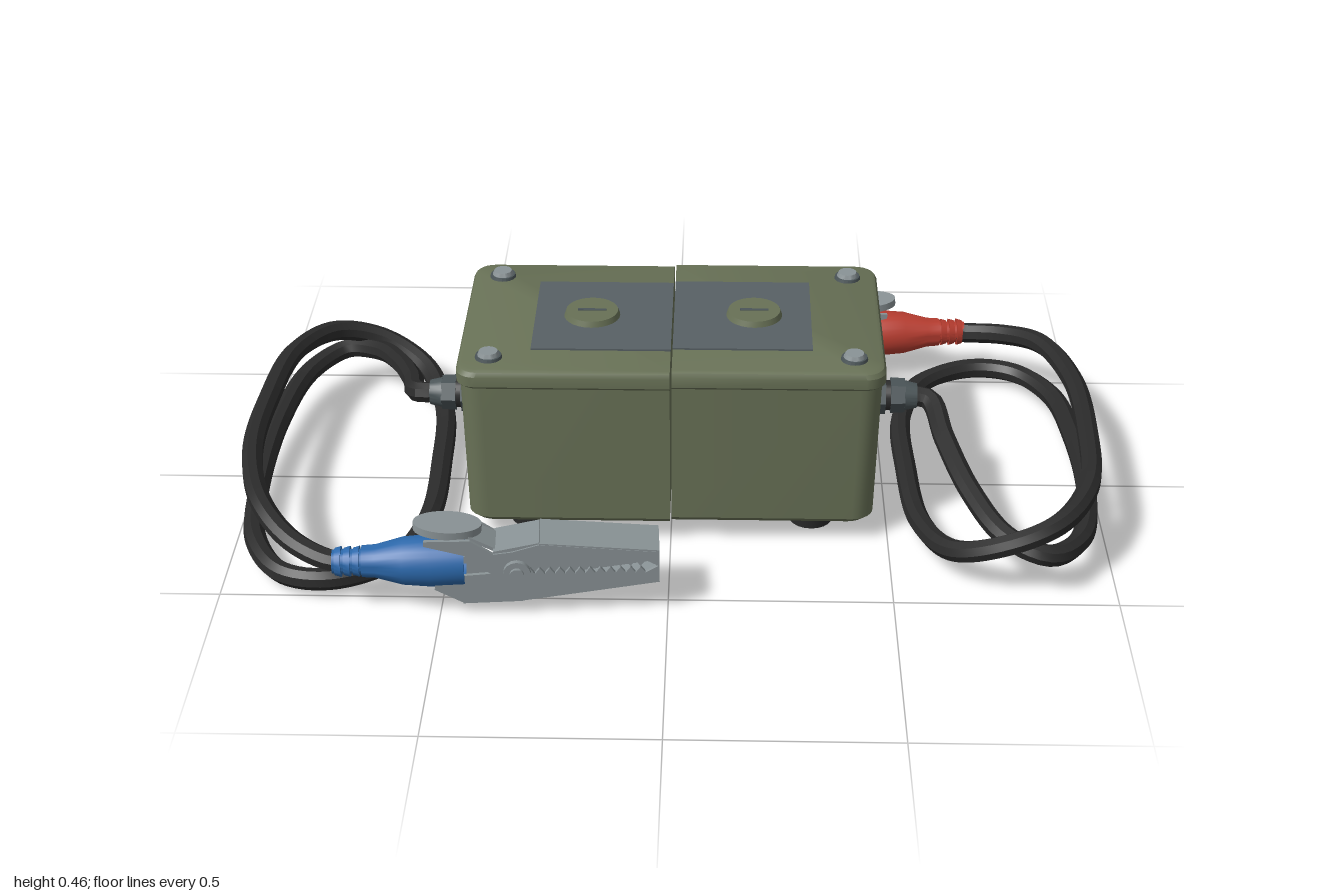
import * as THREE from 'three';
import { toCreasedNormals } from 'three/addons/utils/BufferGeometryUtils.js';

const mat = (name, color) => {
  const m = new THREE.MeshStandardMaterial({ color });
  m.name = name;
  return m;
};

export function createModel() {
  const olive = mat('olive case', 0x687156);
  const slate = mat('slate panel', 0x586165);
  const steel = mat('steel', 0x8a9396);
  const fitting = mat('dark fitting', 0x4b5558);
  const rubber = mat('black rubber', 0x2b2b2b);
  const blue = mat('blue boot', 0x2c69ac);
  const red = mat('red boot', 0xb83d30);

  const add = (parent, name, geo, material, x = 0, y = 0, z = 0) => {
    const m = new THREE.Mesh(geo, material);
    m.name = name;
    m.position.set(x, y, z);
    parent.add(m);
    return m;
  };
  const crease = (g, a = 0.6) => toCreasedNormals(g, a);
  const cyl = (r1, r2, h, n = 20) => crease(new THREE.CylinderGeometry(r1, r2, h, n));
  const cylX = (r1, r2, h, n = 20) => cyl(r1, r2, h, n).rotateZ(-Math.PI / 2);
  const cylZ = (r, h, n = 16) => cyl(r, r, h, n).rotateX(Math.PI / 2);

  // Half of a rounded box, lofted through layers of [y, halfX, halfZ]
  function halfCase(layers, radius) {
    const pos = [], idx = [], x0 = 0.002, steps = 6;
    for (const [y, hx, hz] of layers) {
      pos.push(x0, y, -hz);
      for (const [cz, start] of [[-hz + radius, -Math.PI / 2], [hz - radius, 0]]) {
        for (let i = 0; i <= steps; i++) {
          const a = start + (i / steps) * Math.PI / 2;
          pos.push(hx - radius + Math.cos(a) * radius, y, cz + Math.sin(a) * radius);
        }
      }
      pos.push(x0, y, hz);
    }
    const n = 2 * (steps + 1) + 2;
    for (let l = 0; l < layers.length - 1; l++) {
      for (let i = 0; i < n; i++) {
        const a = l * n + i, b = l * n + (i + 1) % n;
        idx.push(a, a + n, b, b, a + n, b + n);
      }
    }
    const top = (layers.length - 1) * n;
    for (let i = 1; i < n - 1; i++) {
      idx.push(0, i, i + 1);
      idx.push(top, top + i + 1, top + i);
    }
    const g = new THREE.BufferGeometry();
    g.setAttribute('position', new THREE.Float32BufferAttribute(pos, 3));
    g.setIndex(idx);
    return crease(g, 0.5);
  }

  // Thin side plate from an outline in x and y
  function plate(points, z, t = 0.008) {
    const s = new THREE.Shape(points.map(p => new THREE.Vector2(p[0], p[1])));
    return new THREE.ExtrudeGeometry(s, { depth: t, bevelEnabled: false }).translate(0, 0, z - t / 2);
  }

  // Flat strip joining two points in x and y
  function strip(a, b, width, t = 0.008) {
    const dx = b[0] - a[0], dy = b[1] - a[1];
    return new THREE.BoxGeometry(Math.hypot(dx, dy), t, width)
      .rotateZ(Math.atan2(dy, dx))
      .translate((a[0] + b[0]) / 2, (a[1] + b[1]) / 2, 0);
  }

  // Spring clamp, jaw tip at x = 0, cable end at x = 0.71
  function clamp(bootMaterial) {
    const g = new THREE.Group();
    g.name = 'clamp';
    const upperTeeth = [], lowerTeeth = [];
    for (let i = 0; i <= 22; i++) {
      const x = 0.03 + i * 0.011;
      upperTeeth.push([x, i % 2 ? 0.13 : 0.145]);
      lowerTeeth.push([x, i % 2 ? 0.122 : 0.107]);
    }
    const upper = [[0, 0.165], [0, 0.128], ...upperTeeth, [0.3, 0.1], [0.35, 0.1], [0.42, 0.162],
      [0.51, 0.188], [0.51, 0.2], [0.41, 0.2], [0.36, 0.165], [0.32, 0.17], [0.26, 0.188]];
    const lower = [[0, 0.085], [0.3, 0.04], [0.43, 0.035], [0.49, 0.07], [0.49, 0.1], [0.36, 0.11],
      [0.33, 0.14], [0.29, 0.135], ...lowerTeeth.reverse(), [0, 0.124]];
    for (const s of [-1, 1]) {
      add(g, 'upperJawSide', plate(upper, s * 0.047), steel);
      add(g, 'lowerJawSide', plate(lower, s * 0.038), steel);
      add(g, 'pivotCap', cylZ(0.03, 0.012), steel, 0.31, 0.12, s * 0.056);
      add(g, 'pivotHead', cylZ(0.016, 0.01), steel, 0.31, 0.12, s * 0.064);
    }
    add(g, 'upperJaw', strip([0, 0.165], [0.26, 0.187], 0.1), steel);
    add(g, 'jawShoulder', strip([0.26, 0.187], [0.36, 0.166], 0.095), steel);
    add(g, 'handleNeck', strip([0.35, 0.163], [0.42, 0.2], 0.07), steel);
    add(g, 'lowerJaw', strip([0, 0.085], [0.3, 0.041], 0.082), steel);
    add(g, 'lowerHandle', strip([0.3, 0.04], [0.43, 0.036], 0.082), steel);
    add(g, 'lowerHandleEnd', strip([0.43, 0.036], [0.49, 0.07], 0.075), steel);
    add(g, 'jawTip', new THREE.BoxGeometry(0.008, 0.035, 0.1), steel, 0.004, 0.147, 0);

    // Oval thumb pad
    const pad = cyl(1, 1, 0.018, 28).scale(0.075, 1, 0.045).rotateZ(0.06);
    add(g, 'thumbPad', pad, steel, 0.46, 0.209, 0);

    // Pivot pin with coil spring
    add(g, 'pivotPin', cylZ(0.012, 0.1), steel, 0.31, 0.12, 0);
    for (let i = -3; i <= 3; i++) {
      add(g, 'springCoil', new THREE.TorusGeometry(0.02, 0.005, 6, 16), fitting, 0.31, 0.12, i * 0.01);
    }

    // Insulating boot and strain relief
    const profile = [[0, 0.47], [0.045, 0.47], [0.048, 0.425], [0.056, 0.425], [0.058, 0.5], [0.053, 0.56],
      [0.037, 0.62], [0.035, 0.65], [0, 0.65]].map(p => new THREE.Vector2(p[0], p[1]));
    add(g, 'boot', crease(new THREE.LatheGeometry(profile, 28).rotateZ(-Math.PI / 2)), bootMaterial, 0, 0.12, 0);
    for (let i = 0; i < 3; i++) {
      add(g, 'strainReliefRing', cylX(0.03, 0.034, 0.014), bootMaterial, 0.662 + i * 0.02, 0.12, 0);
    }
    add(g, 'strainRelief', cylX(0.026, 0.028, 0.07), bootMaterial, 0.68, 0.12, 0);
    return g;
  }

  // Coiled lead from the gland to the clamp
  const path = [[0.54, 0.24, -0.006], [0.6, 0.235, 0], [0.63, 0.2, 0.12], [0.68, 0.155, 0.28], [0.75, 0.12, 0.41],
    [0.84, 0.1, 0.455], [0.92, 0.085, 0.37], [0.965, 0.07, 0.15], [0.97, 0.05, -0.15], [0.94, 0.045, -0.36],
    [0.86, 0.04, -0.48], [0.75, 0.04, -0.5], [0.62, 0.04, -0.42], [0.56, 0.04, -0.25], [0.555, 0.045, 0],
    [0.575, 0.05, 0.25], [0.64, 0.08, 0.41], [0.75, 0.13, 0.46], [0.86, 0.165, 0.43], [0.94, 0.18, 0.3],
    [0.97, 0.18, 0.05], [0.965, 0.18, -0.2], [0.91, 0.17, -0.4], [0.83, 0.14, -0.5], [0.74, 0.12, -0.545],
    [0.69, 0.12, -0.549]].map(p => new THREE.Vector3(...p));
  const cable = crease(new THREE.TubeGeometry(new THREE.CatmullRomCurve3(path), 220, 0.025, 8), 0.4);

  function half(name, bootMaterial) {
    const g = new THREE.Group();
    g.name = name;
    const cz = -0.008;

    // Case body and lid
    add(g, 'body', halfCase([[0.052, 0.455, 0.258], [0.064, 0.465, 0.268], [0.408, 0.474, 0.263]], 0.05), olive, 0, 0, cz);
    add(g, 'lid', halfCase([[0.402, 0.476, 0.267], [0.408, 0.481, 0.272], [0.432, 0.481, 0.272],
      [0.442, 0.476, 0.267], [0.446, 0.468, 0.259]], 0.045), olive, 0, 0, cz);
    add(g, 'topPanel', new THREE.BoxGeometry(0.316, 0.005, 0.33), slate, 0.16, 0.4475, cz);

    // Slotted cap
    add(g, 'cap', cyl(0.06, 0.065, 0.014, 28), olive, 0.187, 0.456, cz);
    add(g, 'capSlot', new THREE.BoxGeometry(0.065, 0.003, 0.008), fitting, 0.187, 0.463, cz);

    // Lid screws and feet
    for (const s of [-1, 1]) {
      add(g, 'screwWasher', cyl(0.029, 0.031, 0.007), fitting, 0.41, 0.449, cz + s * 0.2);
      add(g, 'screwHead', cyl(0.021, 0.025, 0.01), steel, 0.41, 0.457, cz + s * 0.2);
      add(g, 'foot', cyl(0.056, 0.05, 0.056), rubber, 0.325, 0.028, cz + s * 0.16);
    }

    // Cable gland
    add(g, 'glandNut', cylX(0.045, 0.045, 0.028, 6), fitting, 0.484, 0.24, cz);
    add(g, 'glandCollar', cylX(0.036, 0.036, 0.014), rubber, 0.504, 0.24, cz);
    add(g, 'glandCapNut', cylX(0.04, 0.042, 0.034, 6), fitting, 0.527, 0.24, cz);
    add(g, 'glandSleeve', cylX(0.029, 0.036, 0.03), fitting, 0.557, 0.24, cz);

    add(g, 'cable', cable, rubber);
    const c = clamp(bootMaterial);
    c.position.set(0.02, 0, -0.515);
    c.rotation.y = 0.05;
    g.add(c);
    return g;
  }

  const model = new THREE.Group();
  model.name = 'clampLeadBox';
  model.add(half('leftHalf', red));
  const other = half('rightHalf', blue);
  other.rotation.y = Math.PI;
  other.position.z = -0.008;
  model.add(other);
  return model;
}
